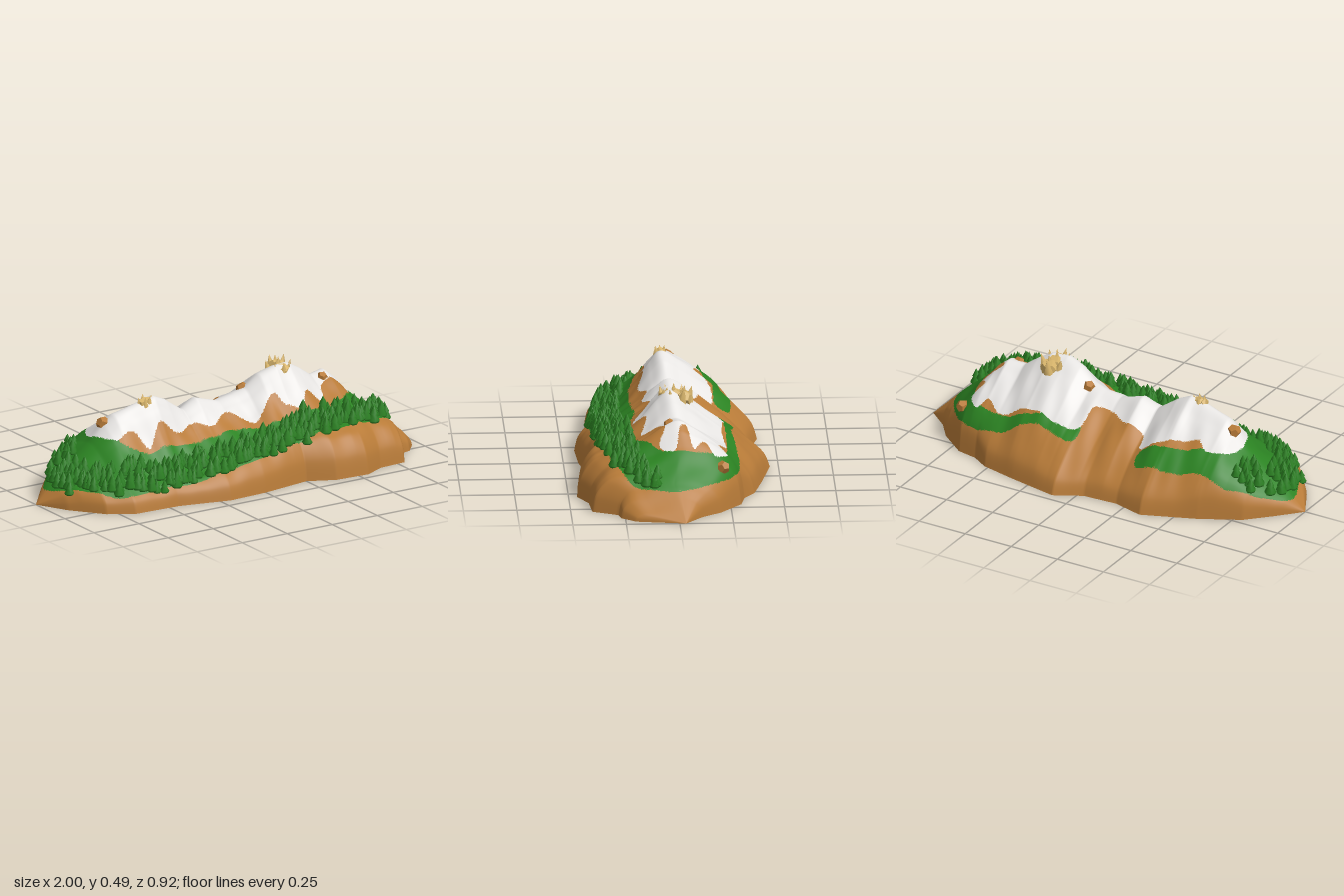
import * as THREE from 'three';
import { mergeGeometries } from 'three/addons/utils/BufferGeometryUtils.js';

const mat = (name, color) => Object.assign(new THREE.MeshStandardMaterial({ color }), { name });

// Outline and ridge tables as [x, value]
const BACK = [[-1, 0], [-0.9, -0.11], [-0.79, -0.22], [-0.6, -0.32], [-0.35, -0.42], [-0.2, -0.38], [-0.03, -0.39], [0.1, -0.46],
  [0.35, -0.41], [0.52, -0.37], [0.6, -0.32], [0.7, -0.3], [0.83, -0.2], [0.9, -0.11], [1, -0.03]];
const FRONT = [[-1, 0], [-0.92, 0.15], [-0.8, 0.3], [-0.68, 0.37], [-0.45, 0.38], [-0.2, 0.44], [0, 0.43], [0.25, 0.39],
  [0.38, 0.45], [0.55, 0.46], [0.65, 0.41], [0.79, 0.4], [0.85, 0.28], [0.9, 0.27], [0.96, 0.2], [1, -0.03]];
const RIDGE_Z = [[-1, 0], [-0.7, 0], [-0.4, 0.03], [-0.1, 0], [0.1, 0], [0.3, 0.03], [0.5, 0], [0.7, -0.02], [0.85, 0.02], [1, -0.03]];
const RIDGE_Y = [[-1, 0], [-0.92, 0.08], [-0.8, 0.17], [-0.7, 0.25], [-0.63, 0.33], [-0.58, 0.37], [-0.45, 0.41], [-0.37, 0.43],
  [-0.3, 0.4], [-0.2, 0.33], [-0.12, 0.37], [0, 0.335], [0.08, 0.35], [0.15, 0.37], [0.22, 0.43], [0.3, 0.46], [0.38, 0.46],
  [0.45, 0.42], [0.52, 0.37], [0.6, 0.38], [0.65, 0.34], [0.7, 0.28], [0.78, 0.21], [0.87, 0.13], [1, 0]];
const SHELF = [[-1, 0.04], [-0.9, 0.09], [-0.6, 0.11], [-0.3, 0.12], [0, 0.17], [0.2, 0.2], [0.5, 0.2], [0.75, 0.17], [0.87, 0.12], [1, 0.03]];

// Colour areas seen from above as [x, z]
const SNOW = [[-0.68, -0.02], [-0.64, -0.13], [-0.55, -0.16], [-0.5, -0.13], [-0.42, -0.16], [-0.3, -0.2], [-0.22, -0.2],
  [-0.2, -0.13], [-0.1, -0.13], [0, -0.08], [0.08, -0.1], [0.1, -0.22], [0.2, -0.24], [0.4, -0.22], [0.52, -0.24], [0.6, -0.2],
  [0.64, -0.24], [0.7, -0.18], [0.66, -0.13], [0.7, -0.08], [0.61, -0.045], [0.62, -0.02], [0.71, 0.01], [0.68, 0.08],
  [0.6, 0.05], [0.53, 0.08], [0.5, 0.16],
  [0.42, 0.13], [0.36, 0.19], [0.28, 0.16], [0.25, 0.11], [0.12, 0.16], [0.05, 0.12], [0, 0.08], [-0.1, 0.13], [-0.2, 0.1],
  [-0.3, 0.14], [-0.38, 0.11], [-0.47, 0.16], [-0.52, 0.1], [-0.62, 0.1]];
const GRASS = [[-0.94, -0.02], [-0.86, -0.12], [-0.77, -0.19], [-0.68, -0.24], [-0.55, -0.25], [-0.4, -0.29], [-0.24, -0.28],
  [-0.23, -0.22], [-0.35, -0.21], [-0.5, -0.17], [-0.6, -0.12], [-0.62, 0], [-0.6, 0.12], [-0.5, 0.17], [-0.2, 0.18], [0, 0.17],
  [0.2, 0.21], [0.45, 0.21], [0.6, 0.16], [0.7, 0.06], [0.7, -0.15], [0.65, -0.22], [0.35, -0.24], [0.1, -0.2], [0.1, -0.28],
  [0.3, -0.27], [0.5, -0.3], [0.69, -0.275], [0.77, -0.21], [0.84, -0.11], [0.88, 0], [0.87, 0.1], [0.83, 0.22], [0.7, 0.28],
  [0.5, 0.33], [0.2, 0.34], [0, 0.37], [-0.3, 0.37], [-0.5, 0.34], [-0.7, 0.33], [-0.82, 0.23], [-0.89, 0.13]];

function lookup(table, x) {
  let i = 1;
  while (i < table.length - 1 && table[i][0] < x) i++;
  const [a, b] = [table[i - 1], table[i]];
  return THREE.MathUtils.lerp(a[1], b[1], THREE.MathUtils.clamp((x - a[0]) / (b[0] - a[0]), 0, 1));
}

function area(points) {
  const curve = new THREE.CatmullRomCurve3(points.map(([x, z]) => new THREE.Vector3(x, 0, z)), true);
  const ring = curve.getPoints(points.length * 5);
  return (x, z) => {
    let inside = false;
    for (let i = 0, j = ring.length - 1; i < ring.length; j = i++) {
      const a = ring[i], b = ring[j];
      if ((a.z > z) !== (b.z > z) && x < ((b.x - a.x) * (z - a.z)) / (b.z - a.z) + a.x) inside = !inside;
    }
    return inside;
  };
}

// Cross-section of the mountain at x, running from back to front; the ends are fuller than the middle
const ROWS = 144, COLS = 320;
function section(x) {
  const zb = lookup(BACK, x), zf = lookup(FRONT, x), rz = lookup(RIDGE_Z, x), h = lookup(RIDGE_Y, x);
  const full = THREE.MathUtils.smoothstep(Math.abs(x), 0.45, 0.75);
  const hs = Math.min(lookup(SHELF, x), h * 0.8), up = (t) => hs + (h - hs) * t ** (1 - 0.5 * full);
  const back = [[1, 0, 0], [0.94, 0.19, 0.42], [0.8, 0.37, 0.68], [0.62, 0.56, 0.82], [0.42, 0.72, 0.91], [0.2, 0.88, 0.97]];
  const front = [[0.15, up(0.82)], [0.32, up(0.5)], [0.55, up(0.17)], [0.74, up(0.02)], [0.86, hs * 0.86], [0.96, hs * 0.5], [1, 0]];
  const pts = [...back.map(([f, y, end]) => new THREE.Vector2(rz + f * (zb - rz), THREE.MathUtils.lerp(y, end, full) * h)),
    new THREE.Vector2(rz, h), ...front.map(([f, y]) => new THREE.Vector2(rz + f * (zf - rz), y))];
  const line = new THREE.SplineCurve(pts).getPoints(ROWS);
  // Gullies and rocky bumps, fading out at the foot and the crest
  line.forEach((p, i) => {
    const t = i / ROWS, fade = Math.sin(Math.PI * t) * Math.min(1, h * 4) * Math.min(1, Math.abs(p.x - rz) * 8);
    p.y += fade * (0.006 * Math.sin(31 * x + 9 * p.x) + 0.004 * Math.sin(53 * x - 17 * p.x + 1));
    p.y = i === 0 || i === ROWS ? 0 : Math.max(0, p.y);
  });
  return line;
}

function ground(x, z) {
  const line = section(x);
  let i = 1;
  while (i < ROWS && line[i].x < z) i++;
  return line[i].y;
}

export function createModel() {
  const model = new THREE.Group();
  const rock = mat('brown rock', 0xb87b38), grass = mat('grass green', 0x2b8322), snow = mat('snow white', 0xe6e4e2);
  const pine = mat('pine green', 0x2a8021), sand = mat('pale stone', 0xd8b56c);
  const add = (name, geometry, material) => {
    const mesh = new THREE.Mesh(geometry, material);
    mesh.name = name;
    model.add(mesh);
  };
  let seed = 7;
  const rand = () => (seed = (seed * 16807) % 2147483647) / 2147483647;

  // Mountain: cross-sections joined along x, faces sorted by colour area
  const pos = [], faces = [[], [], []], inSnow = area(SNOW), inGrass = area(GRASS);
  for (let i = 0; i <= COLS; i++) {
    const x = -1 + (2 * i) / COLS;
    for (const p of section(x)) pos.push(x, p.y, p.x);
  }
  const face = (...ids) => {
    const x = ids.reduce((s, k) => s + pos[k * 3], 0) / 3, z = ids.reduce((s, k) => s + pos[k * 3 + 2], 0) / 3;
    faces[inSnow(x, z) ? 2 : inGrass(x, z) ? 1 : 0].push(...ids);
  };
  for (let i = 0; i < COLS; i++) for (let j = 0; j < ROWS; j++) {
    const a = i * (ROWS + 1) + j, c = a + ROWS + 1;
    face(a, a + 1, c);
    face(a + 1, c + 1, c);
  }
  const land = new THREE.BufferGeometry();
  land.setAttribute('position', new THREE.Float32BufferAttribute(pos, 3));
  land.setIndex(faces.flat());
  let start = 0;
  faces.forEach((f, k) => { land.addGroup(start, f.length, k); start += f.length; });
  land.computeVertexNormals();
  add('mountain', land, [rock, grass, snow]);

  // Flat underside
  const outline = [...FRONT, ...BACK.slice(1, -1).reverse()].map(([x, z]) => new THREE.Vector2(x, z));
  add('underside', new THREE.ShapeGeometry(new THREE.Shape(outline)).rotateX(Math.PI / 2), rock);

  // Pine trees: squat two-tiered crowns, in a belt along the front and round the left end
  const tier = [[0, 0], [0.022, 0.003], [0.027, 0.013], [0.014, 0.037], [0.018, 0.041], [0, 0.078]];
  const tree = new THREE.LatheGeometry(tier.map(([r, y]) => new THREE.Vector2(r, y)), 7);
  const trees = [];
  const plant = (x, z) => {
    const s = 0.8 + rand() * 0.35;
    trees.push(tree.clone().rotateY(rand() * 3).scale(s, s, s).translate(x, ground(x, z) - 0.01, z));
  };
  const belt = new THREE.CatmullRomCurve3([[-0.88, 0.08], [-0.78, 0.2], [-0.6, 0.27], [-0.3, 0.305], [0, 0.305], [0.25, 0.285],
    [0.5, 0.27], [0.68, 0.23], [0.8, 0.17], [0.84, 0.11]].map(([x, z]) => new THREE.Vector3(x, 0, z)));
  for (let i = 0; i < 250; i++) {
    const p = belt.getPointAt(i / 249), spread = p.x > 0.7 ? 0.08 : 0.13;
    plant(p.x + (rand() - 0.5) * 0.04, p.z + (rand() - 0.5) * spread);
  }
  for (let i = 0; i < 28; i++) {
    const z = -0.16 + rand() * 0.27;
    plant(-0.92 + Math.max(0, -z) * 0.6 + rand() * 0.14, z);
  }
  add('pineTrees', mergeGeometries(trees), pine);

  // Loose boulders, partly sunk
  for (const [x, z, r, sink] of [[-0.62, -0.01, 0.034, 0.008], [0.73, -0.215, 0.032, -0.006], [0.16, -0.02, 0.032, 0.012], [0.57, 0.03, 0.028, 0.008]]) {
    const stone = new THREE.DodecahedronGeometry(r).rotateY(x * 5);
    add('boulder', stone.translate(x, ground(x, z) - sink, z), rock);
  }

  // Spiky stone crowns on the two summits: rough lobes [x, y, z, radius] topped by spikes [x, z, height of tip]
  const crown = (lobes, radius, spikes) => {
    const parts = lobes.map(([x, y, z, r]) => new THREE.DodecahedronGeometry(r).rotateY(x * 9).translate(x, y, z));
    for (const [x, z, top] of spikes) {
      const tall = radius * 2.8, spike = new THREE.ConeGeometry(radius, tall, 5).rotateY(x * 40);
      spike.translate(0, -tall / 2, 0).rotateX((z - lobes[0][2]) * 3).rotateZ((lobes[0][0] - x) * 5);
      parts.push(spike.translate(x, top, z).toNonIndexed());
    }
    add('summitCrown', mergeGeometries(parts), sand);
  };
  crown([[0.352, 0.422, -0.005, 0.044], [0.36, 0.418, -0.045, 0.044], [0.345, 0.42, 0.03, 0.044]], 0.027,
    [[0.335, 0.066, 0.475], [0.3, 0.04, 0.47], [0.375, 0.05, 0.468], [0.345, 0, 0.488], [0.4, 0.02, 0.472],
      [0.3, -0.04, 0.468], [0.405, -0.045, 0.478], [0.36, -0.05, 0.482], [0.35, -0.085, 0.475]]);
  crown([[-0.415, 0.408, 0.03, 0.026], [-0.43, 0.406, 0.033, 0.024], [-0.4, 0.408, 0.03, 0.024]], 0.017,
    [[-0.45, 0.03, 0.436], [-0.425, 0.052, 0.438], [-0.398, 0.05, 0.442], [-0.378, 0.03, 0.438], [-0.415, 0.01, 0.444]]);
  return model;
}
